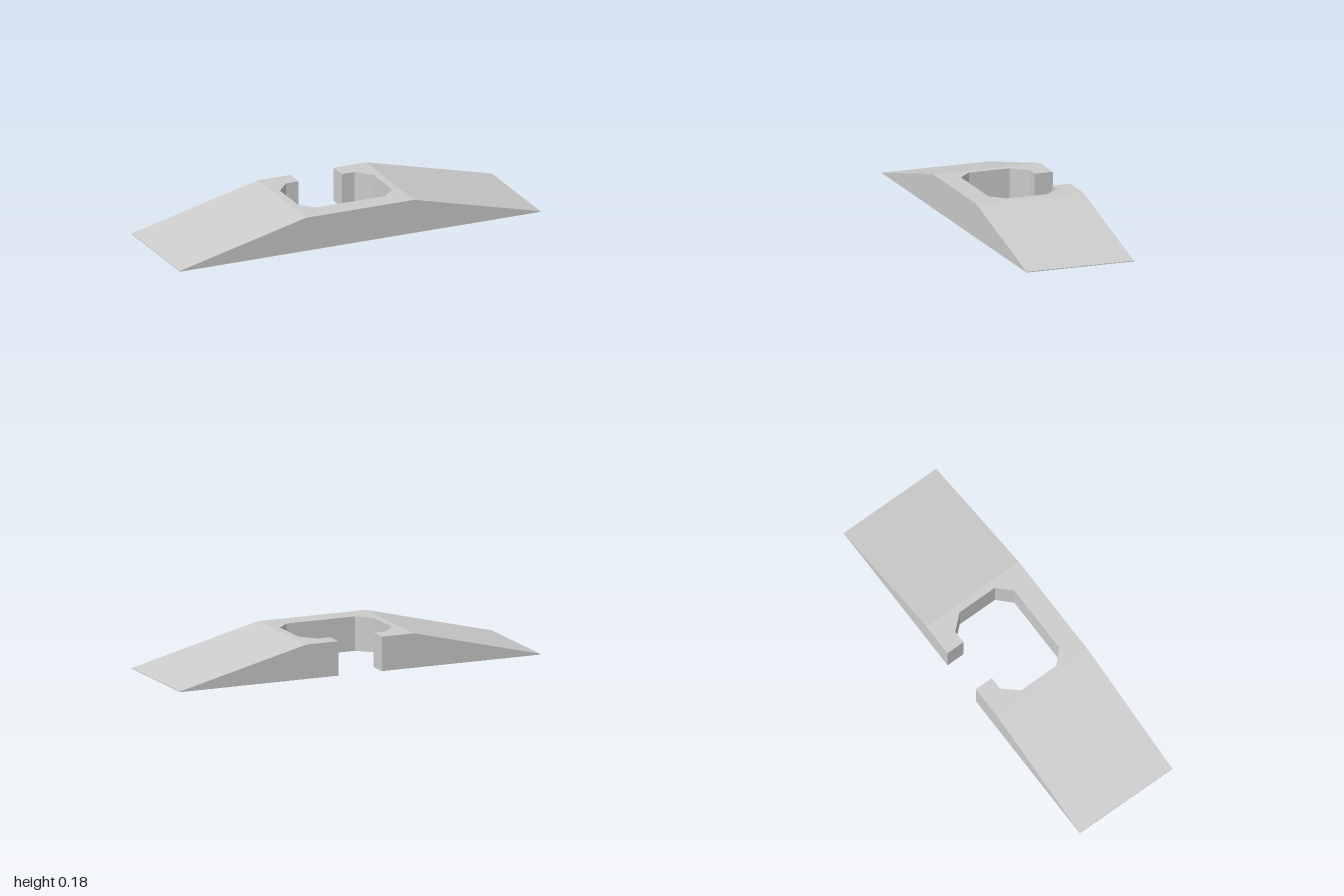
import * as THREE from 'three';
import { mergeGeometries } from 'three/addons/utils/BufferGeometryUtils.js';

const HEIGHT = 0.178, LIP = 0.004, INNER = 0.3, DEPTH = 0.29;

const material = new THREE.MeshStandardMaterial({
  color: 0xcccccc, flatShading: true, side: THREE.DoubleSide,
});

// Flat in the middle, sloping down to a thin lip at both ends
function surfaceHeight(x) {
  const t = Math.max(0, (Math.abs(x) - INNER) / (1 - INNER));
  return HEIGHT + (LIP - HEIGHT) * t;
}

// Open-bottomed shell: a top surface and walls along an outline.
// Outline points are [x, -z], anticlockwise from above; side -1 mirrors them.
function shell(name, outline, side, closed) {
  let points = outline.map(([x, y]) => new THREE.Vector2(x * side, y));
  if (side < 0) points.reverse();

  const top = new THREE.ShapeGeometry(new THREE.Shape(points)).toNonIndexed();
  top.deleteAttribute('uv');
  top.rotateX(-Math.PI / 2);
  const p = top.attributes.position;
  for (let i = 0; i < p.count; i++) p.setY(i, surfaceHeight(p.getX(i)));

  const walls = [];
  const count = closed ? points.length : points.length - 1;
  for (let i = 0; i < count; i++) {
    const a = points[i], b = points[(i + 1) % points.length];
    const a0 = [a.x, 0, -a.y], a1 = [a.x, surfaceHeight(a.x), -a.y];
    const b0 = [b.x, 0, -b.y], b1 = [b.x, surfaceHeight(b.x), -b.y];
    walls.push(...a0, ...b0, ...b1, ...a0, ...b1, ...a1);
  }
  const wall = new THREE.BufferGeometry();
  wall.setAttribute('position', new THREE.Float32BufferAttribute(walls, 3));
  wall.computeVertexNormals();

  const geometry = mergeGeometries([top, wall]);
  geometry.computeVertexNormals();
  const mesh = new THREE.Mesh(geometry, material);
  mesh.name = name;
  return mesh;
}

export function createModel() {
  const group = new THREE.Group();
  group.name = 'rampBlock';

  // Sloping ramp, open towards the collar, which supplies the shared wall
  const ramp = [[INNER, -DEPTH], [1, -DEPTH], [1, DEPTH], [INNER, DEPTH]];

  // Half of the collar around the eight-sided opening, with the rear gap
  const collar = [
    [0, -DEPTH], [INNER, -DEPTH], [INNER, DEPTH], [0.12, DEPTH], [0.12, 0.19],
    [0.19, 0.19], [0.26, 0.11], [0.26, -0.11], [0.19, -0.18], [0, -0.18],
  ];

  for (const side of [1, -1]) {
    const label = side > 0 ? 'left' : 'right';
    group.add(shell(label + 'Ramp', ramp, side, false));
    group.add(shell(label + 'Collar', collar, side, true));
  }
  return group;
}
